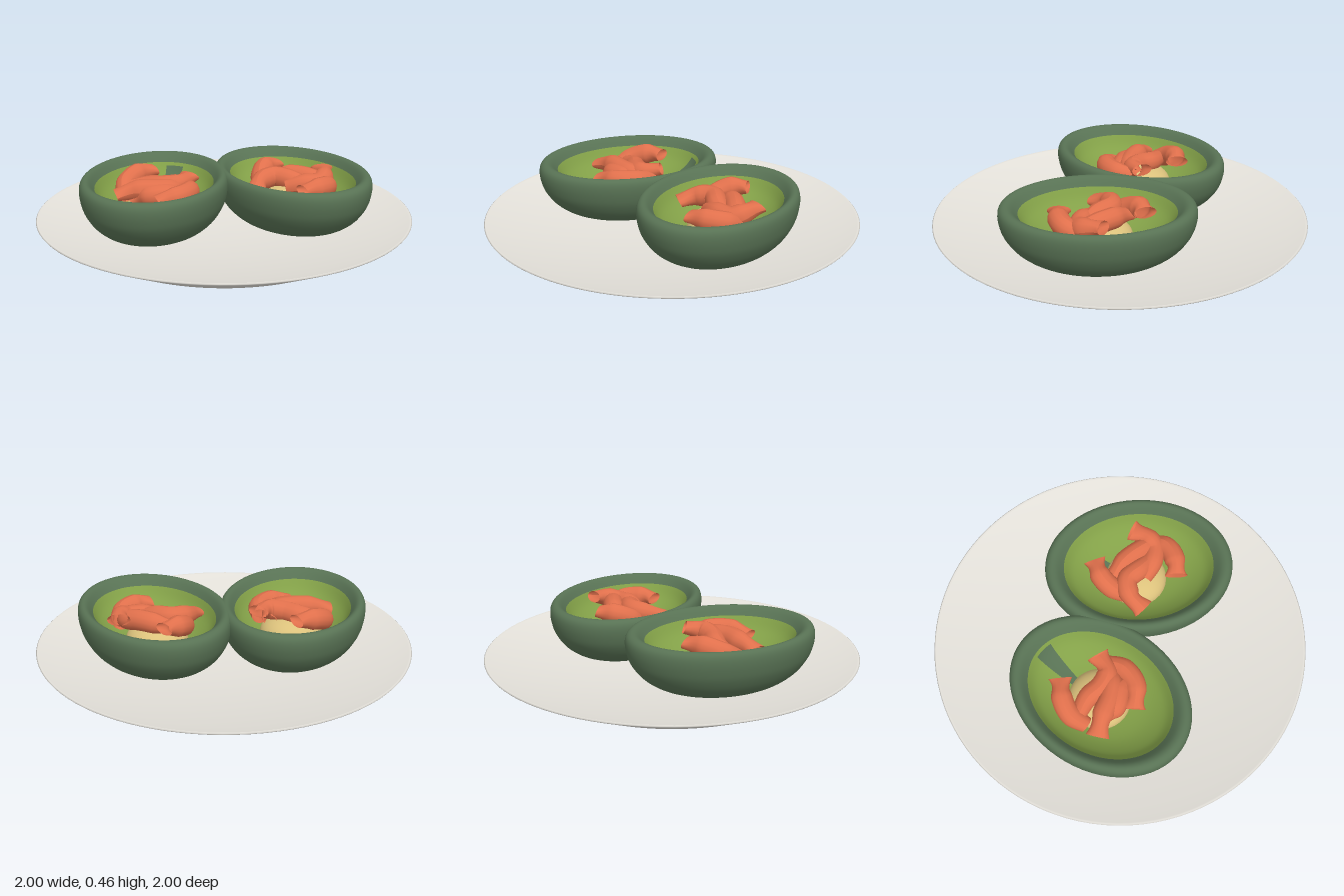
import * as THREE from 'three';

const paint = (name, color, side = THREE.FrontSide) => {
  const m = new THREE.MeshStandardMaterial({ color, side });
  m.name = name;
  return m;
};
const V = (p) => new THREE.Vector3(...p);
const P = (list) => list.map(([x, y]) => new THREE.Vector2(x, y));

// Smooth profile through a few points
const smooth = (list, n) => new THREE.SplineCurve(P(list)).getPoints(n)
  .map((p) => p.setX(Math.max(p.x, 0)));

// Curled open tube: flat flared tail at the start, slimmer at the other end
function shrimpGeometry(line) {
  const curve = new THREE.CatmullRomCurve3(line.map(V));
  const rings = 24, sides = 14;
  const geo = new THREE.TubeGeometry(curve, rings, 0.056, sides);
  const pos = geo.attributes.position;
  for (let i = 0; i <= rings; i++) {
    const t = i / rings;
    const c = curve.getPointAt(t);
    const tail = Math.max(0, 1 - t / 0.3);
    const slim = 1 - 0.25 * Math.max(0, (t - 0.7) / 0.3);
    const wide = slim * (1 - 0.25 * Math.sin(Math.PI * tail) + 0.1 * tail);
    const tall = slim * (1 - 0.5 * tail);
    for (let j = 0; j <= sides; j++) {
      const k = i * (sides + 1) + j;
      pos.setXYZ(k, c.x + (pos.getX(k) - c.x) * wide,
        c.y + (pos.getY(k) - c.y) * tall, c.z + (pos.getZ(k) - c.z) * wide);
    }
  }
  geo.computeVertexNormals();
  return geo;
}

export function createModel() {
  const ceramic = paint('ceramic', 0xe4e1da);
  const skin = paint('avocado skin', 0x587254);
  const flesh = paint('avocado flesh', 0x83a148);
  const stuffing = paint('tan filling', 0xdcc27c);
  const shrimp = paint('shrimp', 0xe0704c, THREE.DoubleSide);

  const model = new THREE.Group();
  model.name = 'stuffedAvocadoPlate';
  const add = (parent, name, geo, mat) => {
    const mesh = new THREE.Mesh(geo, mat);
    mesh.name = name;
    parent.add(mesh);
    return mesh;
  };

  // Plate: shallow dish with a thin rim
  const top = [];
  for (let i = 0; i <= 12; i++) {
    const r = 0.985 * (1 - i / 12);
    top.push([r, 0.11 + 0.114 * r * r]);
  }
  add(model, 'plate', new THREE.LatheGeometry(P([
    [0.3, 0.09], [0.74, 0.09], [0.995, 0.213], [1, 0.22], [0.994, 0.225], ...top]), 96), ceramic);

  // Foot: flared ring closed underneath
  add(model, 'plateFoot', new THREE.LatheGeometry(P([
    [0, 0], [0.34, 0], [0.395, 0.001], [0.405, 0.008], [0.415, 0.035], [0.405, 0.042],
    [0.375, 0.053], [0.36, 0.068], [0.36, 0.095]]), 64), ceramic);

  // Avocado half: profiles are fractions of the oval outline against height
  const shell = smooth([[0, 0.125], [0.35, 0.135], [0.64, 0.165], [0.83, 0.22],
    [0.945, 0.29], [0.99, 0.35], [1, 0.4], [0.98, 0.432], [0.93, 0.446], [0.87, 0.436], [0.8, 0.4]], 40);
  const bowl = smooth([[0.8, 0.4], [0.7, 0.335], [0.5, 0.275], [0.25, 0.245], [0, 0.24]], 20);
  const oval = (profile, side, ...arc) => new THREE.LatheGeometry(profile, ...arc)
    .scale(0.386, 1, 0.502).rotateY(side * 0.33);

  // Each half: skin patch limits [inner, outer, angle, sweep] and shrimp lines [x, y, z], tail first
  const halves = [
    {
      name: 'rightAvocadoHalf', side: -1, patch: [0.34, 0.78, 2.87, 0.33],
      shrimps: [
        [[-0.35, 0.41, -0.22], [-0.45, 0.4, -0.18], [-0.51, 0.37, -0.12], [-0.53, 0.33, -0.03]],
        [[-0.58, 0.36, 0.045], [-0.47, 0.38, 0.04], [-0.37, 0.38, 0.05], [-0.27, 0.37, 0.03], [-0.24, 0.34, -0.03]],
        [[-0.175, 0.41, -0.07], [-0.24, 0.39, 0], [-0.32, 0.38, -0.01], [-0.4, 0.37, -0.06], [-0.49, 0.36, -0.08]],
        [[-0.39, 0.36, 0.185], [-0.27, 0.37, 0.16], [-0.2, 0.37, 0.08], [-0.19, 0.36, -0.02]],
        [[-0.47, 0.33, 0.03], [-0.4, 0.36, 0.09], [-0.3, 0.36, 0.09], [-0.26, 0.33, 0.13]],
      ],
    },
    {
      name: 'leftAvocadoHalf', side: 1, patch: [0.34, 0.48, 2.5, 0.35],
      shrimps: [
        [[0.335, 0.41, -0.235], [0.26, 0.4, -0.18], [0.225, 0.37, -0.11], [0.22, 0.33, -0.03]],
        [[0.155, 0.36, 0.085], [0.2, 0.38, 0.0], [0.28, 0.39, -0.04], [0.37, 0.38, 0.01], [0.46, 0.35, 0.05]],
        [[0.27, 0.36, -0.12], [0.37, 0.38, -0.09], [0.46, 0.38, -0.03], [0.52, 0.36, 0.03], [0.49, 0.34, 0.09]],
        [[0.56, 0.41, -0.09], [0.55, 0.39, 0], [0.51, 0.37, 0.05], [0.42, 0.37, 0.06], [0.33, 0.35, 0.04]],
        [[0.38, 0.38, 0.205], [0.46, 0.38, 0.18], [0.53, 0.37, 0.12], [0.55, 0.34, 0.02]],
      ],
    },
  ];

  for (const { name, side, patch: [inner, outer, angle, sweep], shrimps } of halves) {
    const half = new THREE.Group();
    half.name = name;
    model.add(half);

    const body = new THREE.Group();
    body.name = 'avocadoBody';
    body.position.x = side * 0.372;
    half.add(body);
    add(body, 'avocadoSkin', oval(shell, side, 64), skin);
    add(body, 'avocadoFlesh', oval(bowl, side, 64), flesh);

    // Patch of skin showing through the flesh
    const strip = bowl.filter((p) => p.x > inner && p.x < outer)
      .map((p) => new THREE.Vector2(p.x, p.y + 0.006));
    add(body, 'skinPatch', oval(strip, side, 6, angle, sweep), skin);

    // Low filling dome under the shrimp
    const dome = new THREE.SphereGeometry(0.165, 32, 12, 0, Math.PI * 2, 0, Math.PI / 2).scale(1, 0.6, 1);
    add(half, 'fillingDome', dome, stuffing).position.set(side * 0.36, 0.26, -0.01);

    // Open curled shrimp
    for (const line of shrimps) add(half, 'shrimp', shrimpGeometry(line), shrimp);
  }
  return model;
}
